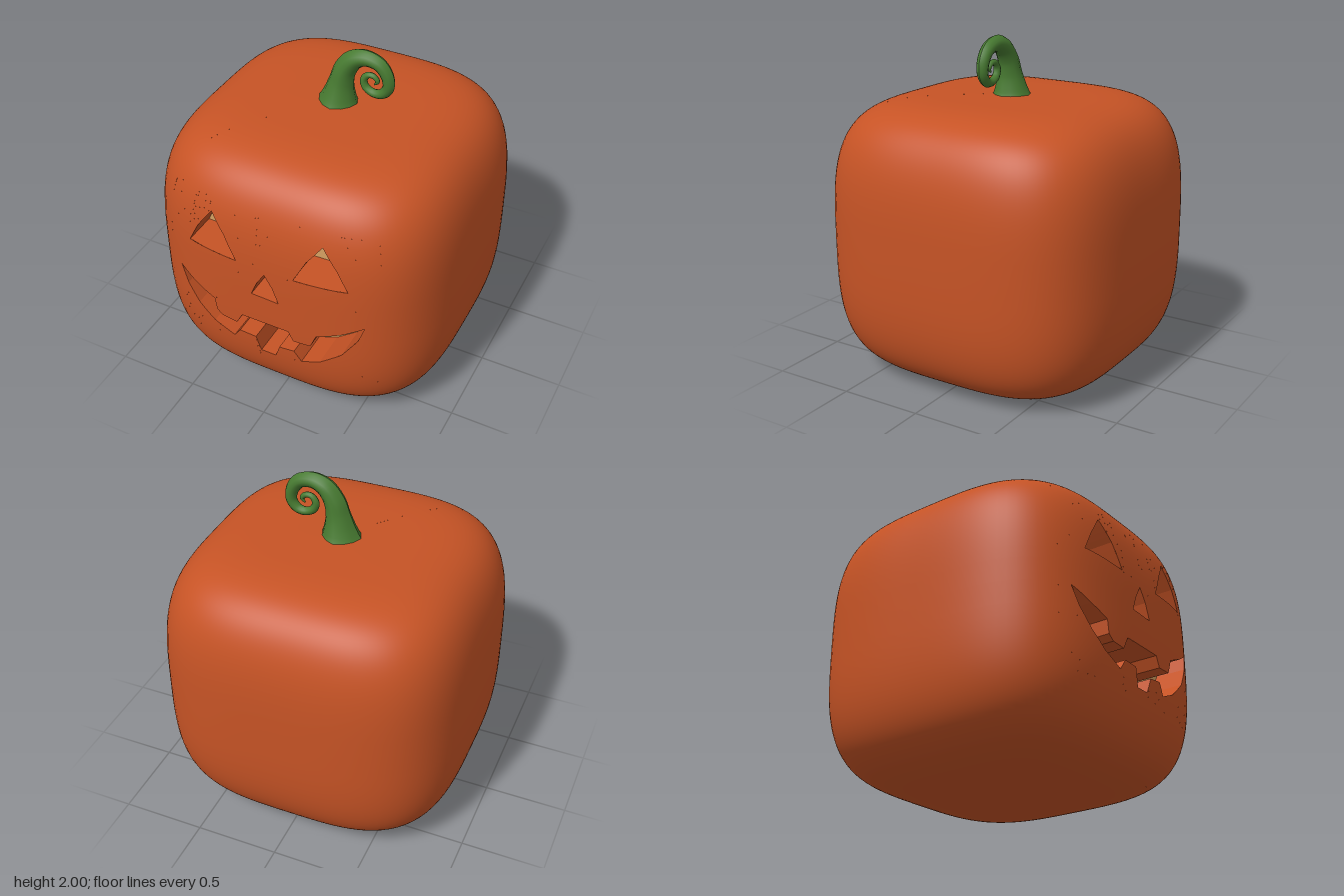
import * as THREE from 'three';

// Rounded-cube body: (|x|^N + |z|^N)^(P/N) + |y|^Q = 1 in scaled units
const A = 0.915, B = 0.82, N = 3.4, P = 5.5, Q = 3.3;
const BACK = 0.68;                       // depth of the carved recesses
const FACE = { s: 0.66, y0: 0.36, y1: 1.4 };

const ringSize = (y) => Math.pow(Math.max(0, 1 - Math.pow(Math.abs(y / B - 1), Q)), 1 / P);

// Point on the front from a sideways position s (before shrinking) and a height
function frontPoint(s, y) {
  const h = ringSize(y);
  return [s * h, y, A * h * Math.pow(1 - Math.pow(Math.abs(s / A), N), 1 / N)];
}

function bodyNormal([x, y, z]) {
  const power = (v, e) => Math.sign(v) * Math.pow(Math.abs(v), e);
  const u = x / A, v = y / B - 1, w = z / A;
  const h = Math.pow(Math.abs(u) ** N + Math.abs(w) ** N, 1 / N);
  const k = P * Math.pow(h, P - N) / A;
  return new THREE.Vector3(k * power(u, N - 1), Q * power(v, Q - 1) / B, k * power(w, N - 1))
    .normalize().toArray();
}

function geometry(positions, index, normals) {
  const g = new THREE.BufferGeometry();
  g.setAttribute('position', new THREE.Float32BufferAttribute(positions, 3));
  if (index) g.setIndex(index);
  if (normals) g.setAttribute('normal', new THREE.Float32BufferAttribute(normals, 3));
  else g.computeVertexNormals();
  return g;
}

// Grid of points: u runs rightwards and v upwards, seen from outside
function grid(nu, nv, point, normal) {
  const pos = [], nor = [], index = [];
  for (let j = 0; j <= nv; j++) for (let i = 0; i <= nu; i++) {
    const p = point(i / nu, j / nv);
    pos.push(...p);
    if (normal) nor.push(...normal(p));
    if (i < nu && j < nv) {
      const a = j * (nu + 1) + i, d = a + nu + 1;
      index.push(a, a + 1, d, a + 1, d + 1, d);
    }
  }
  return geometry(pos, index, normal && nor);
}

// Part of the body between two ring angles and two profile angles
function bodyPatch(phi0, phi1, psi0, psi1, nu, nv) {
  return grid(nu, nv, (u, v) => {
    const phi = phi0 + (phi1 - phi0) * u, psi = psi0 + (psi1 - psi0) * v;
    const h = Math.pow(Math.max(0, Math.cos(psi)), 2 / P);
    const y = B * (1 + Math.sign(psi) * Math.pow(Math.abs(Math.sin(psi)), 2 / Q));
    const sx = Math.sin(phi), cz = Math.cos(phi);
    const r = A * h * Math.pow(Math.abs(sx) ** N + Math.abs(cz) ** N, -1 / N);
    return [r * sx, y, r * cz];
  }, bodyNormal);
}

// Carved outlines in x, y
const eye = [[0.34, 1.325], [0.255, 1.21], [0.178, 1.063], [0.493, 1.075], [0.43, 1.2]];
const nose = [[0, 1.03], [-0.05, 0.95], [-0.087, 0.86], [0.083, 0.853], [0.048, 0.95]];
const mouth = [
  [-0.593, 0.825], [-0.466, 0.757], [-0.344, 0.704], [-0.333, 0.624], [-0.296, 0.593], [-0.2, 0.585],
  [-0.159, 0.661], [0.138, 0.661], [0.169, 0.598], [0.275, 0.603], [0.312, 0.693], [0.46, 0.757],
  [0.582, 0.825], [0.55, 0.73], [0.46, 0.598], [0.328, 0.492], [0.212, 0.444], [0.169, 0.513],
  [0.074, 0.503], [0.042, 0.413], [-0.053, 0.413], [-0.079, 0.519], [-0.185, 0.524], [-0.228, 0.46],
  [-0.36, 0.519], [-0.466, 0.608], [-0.545, 0.714],
];

// Anticlockwise outline in (s, y) with each edge cut into short pieces
function refine(outline) {
  const pts = outline.map(([x, y]) => new THREE.Vector2(x / ringSize(y), y));
  if (THREE.ShapeUtils.isClockWise(pts)) pts.reverse();
  return pts.flatMap((p, i) => [0, 1, 2, 3].map((k) => p.clone().lerp(pts[(i + 1) % pts.length], k / 4)));
}

// Curved front panel, built in upright strips that stop at the cut outlines
function facePanel(holes) {
  const edges = holes.flatMap((h) => h.map((p, i) => [p, h[(i + 1) % h.length]]));
  const cuts = holes.flat().map((p) => p.x);
  for (let i = 0; i <= 32; i++) cuts.push(FACE.s * (i / 16 - 1));
  cuts.sort((a, b) => a - b);
  const xs = cuts.filter((x, i) => i === 0 || x - cuts[i - 1] > 1e-7);
  const pos = [], nor = [];
  const add = (s, y) => {
    const p = frontPoint(s, y);
    pos.push(...p);
    nor.push(...bodyNormal(p));
  };
  for (let i = 0; i + 1 < xs.length; i++) {
    const l = xs[i], r = xs[i + 1], mid = (l + r) / 2;
    const lines = edges
      .filter(([a, b]) => (a.x < mid) !== (b.x < mid))
      .map(([a, b]) => (x) => a.y + (b.y - a.y) * (x - a.x) / (b.x - a.x))
      .sort((f, g) => f(mid) - g(mid));
    lines.unshift(() => FACE.y0);
    lines.push(() => FACE.y1);
    for (let k = 0; k < lines.length; k += 2) {
      const lo = lines[k], hi = lines[k + 1];
      const n = Math.max(1, Math.ceil((hi(mid) - lo(mid)) / 0.05));
      const at = (x, t) => [x, lo(x) + (hi(x) - lo(x)) * t / n];
      for (let j = 0; j < n; j++) {
        const a = at(l, j), b = at(r, j), c = at(r, j + 1), d = at(l, j + 1);
        [a, b, c, a, c, d].forEach((q) => add(...q));
      }
    }
  }
  return geometry(pos, null, nor);
}

// Straight walls running from the skin back into the shell
function recessWalls(hole) {
  const pos = [];
  hole.forEach((p, i) => {
    const q = hole[(i + 1) % hole.length];
    const a = frontPoint(p.x, p.y), b = frontPoint(q.x, q.y);
    const c = [b[0], b[1], BACK], d = [a[0], a[1], BACK];
    pos.push(...a, ...b, ...c, ...a, ...c, ...d);
  });
  return geometry(pos);
}

// Tapered curl; the third number of each point is the radius
function stemGeometry() {
  const path = new THREE.CatmullRomCurve3([
    [-0.005, 1.62, 0.122], [0, 1.67, 0.1], [0.012, 1.76, 0.074], [0.035, 1.85, 0.063], [0.09, 1.925, 0.055],
    [0.165, 1.953, 0.047], [0.245, 1.933, 0.041], [0.293, 1.87, 0.037], [0.3, 1.8, 0.033],
    [0.265, 1.752, 0.029], [0.21, 1.742, 0.025], [0.163, 1.768, 0.023], [0.15, 1.812, 0.021],
    [0.175, 1.848, 0.018], [0.213, 1.848, 0.016], [0.234, 1.822, 0.013], [0.215, 1.797, 0.004],
  ].map((p) => new THREE.Vector3(...p)));
  return grid(12, 96, (u, v) => {
    const c = path.getPoint(v), t = path.getTangent(v);
    const len = Math.hypot(t.x, t.y), a = u * Math.PI * 2;
    const r = c.z * (1 + 0.05 * Math.cos(4 * a));
    const side = r * Math.cos(a) / len;
    return [c.x - t.y * side, c.y + t.x * side, r * Math.sin(a)];
  });
}

export function createModel() {
  const group = new THREE.Group();
  const material = (name, color) => {
    const m = new THREE.MeshStandardMaterial({ color });
    m.name = name;
    return m;
  };
  const orange = material('orange skin', 0xc65325);
  const tan = material('tan flesh', 0xd6a263);
  const green = material('stem green', 0x477a31);
  orange.side = THREE.DoubleSide;
  const add = (name, geo, mat) => {
    const mesh = new THREE.Mesh(geo, mat);
    mesh.name = name;
    group.add(mesh);
    return mesh;
  };

  // Body around the face panel
  const edge = frontPoint(FACE.s, B);
  const phi = Math.atan2(edge[0], edge[2]), top = Math.PI / 2;
  const psi = (y) => Math.sign(y - B) * Math.asin(Math.pow(Math.abs(y / B - 1), Q / 2));
  add('bodySidesAndBack', bodyPatch(phi, 2 * Math.PI - phi, -top, top, 96, 64), orange);
  add('bodyFrontTop', bodyPatch(-phi, phi, psi(FACE.y1), top, 32, 24), orange);
  add('bodyFrontBottom', bodyPatch(-phi, phi, -top, psi(FACE.y0), 32, 24), orange);

  // Carved face
  const outlines = { leftEye: eye, rightEye: eye.map(([x, y]) => [-x, y]), nose, mouth };
  const holes = [];
  for (const [name, outline] of Object.entries(outlines)) {
    const hole = refine(outline);
    holes.push(hole);
    add(name + 'Walls', recessWalls(hole), orange);
    const flat = hole.map((p) => new THREE.Vector2(p.x * ringSize(p.y), p.y));
    add(name + 'Lining', new THREE.ShapeGeometry(new THREE.Shape(flat)), tan).position.z = BACK;
  }
  add('facePanel', facePanel(holes), orange);

  // Curled stem
  add('stem', stemGeometry(), green);
  return group;
}
